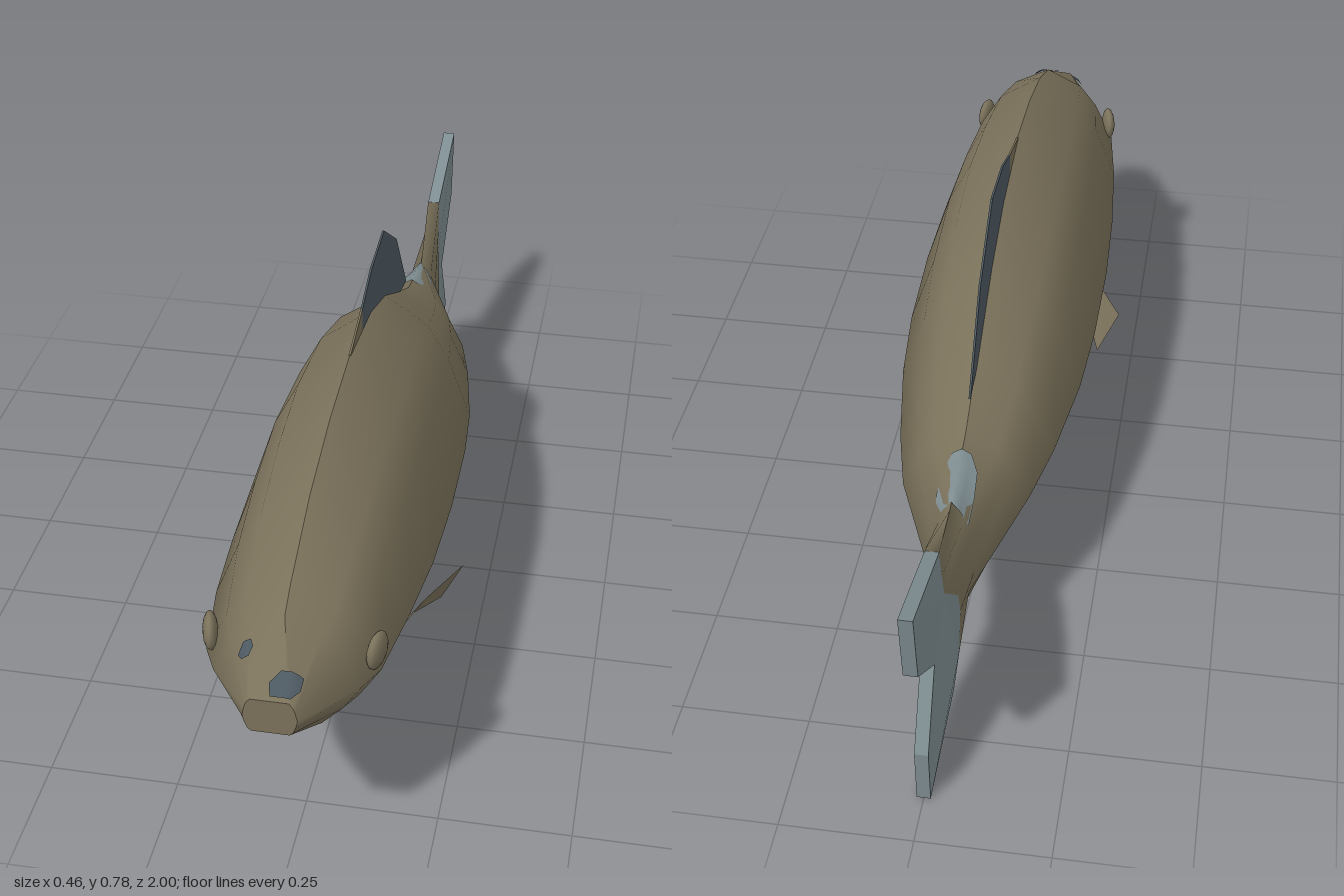
import * as THREE from 'three';

const olive = new THREE.MeshStandardMaterial({ color: 0x7b725b, side: THREE.DoubleSide });
olive.name = 'olive skin';
const paleBlue = new THREE.MeshStandardMaterial({ color: 0x7f8e92, side: THREE.DoubleSide });
paleBlue.name = 'pale blue grey';
const slate = new THREE.MeshStandardMaterial({ color: 0x4d5961, side: THREE.DoubleSide });
slate.name = 'slate blue';

// Half cross-section, top to bottom: width fraction, height fraction
const HALF = [[0, 1], [0.5, 0.875], [0.74, 0.72], [1, 0.455], [0.75, 0.25], [0.46, 0.09], [0, 0]];
// Body stations: z, top, bottom, half width, boxiness
const STATIONS = [
  [1, 0.48, 0.41, 0.047, 0.7], [0.87, 0.555, 0.30, 0.13, 0], [0.82, 0.585, 0.275, 0.155, 0],
  [0.66, 0.65, 0.21, 0.178, 0], [0.48, 0.69, 0.14, 0.193, 0], [0.29, 0.708, 0.108, 0.2, 0],
  [0.08, 0.68, 0.106, 0.197, 0], [-0.08, 0.625, 0.118, 0.185, 0], [-0.27, 0.525, 0.168, 0.155, 0],
  [-0.4, 0.46, 0.203, 0.125, 0], [-0.58, 0.425, 0.155, 0.045, 0],
];
// Wavy colour border where the body meets the tail fin: z, y
const BORDER = [[-0.76, 0.487], [-0.75, 0.42], [-0.74, 0.37], [-0.67, 0.30], [-0.66, 0.25], [-0.67, 0.15], [-0.70, 0.085]];
const tailHalfThickness = z => Math.max(0.013, 0.013 + (z + 0.76) * 0.18);

function halfSection([z, top, bottom, width, box]) {
  return HALF.map(([u, v]) => [width * (u + (1 - u) * box), bottom + (top - bottom) * v, z]);
}

const mirrorRing = half => [...half, ...half.slice().reverse().map(([x, y, z]) => [-x, y, z])];

// Surface through rows of points
function skin(rows, closed = false) {
  const n = rows[0].length, index = [];
  for (let i = 0; i < rows.length - 1; i++) {
    for (let j = 0; j < (closed ? n : n - 1); j++) {
      const k = (j + 1) % n;
      const a = i * n + j, b = i * n + k, c = a + n, d = b + n;
      index.push(a, b, c, b, d, c);
    }
  }
  const geo = new THREE.BufferGeometry();
  geo.setAttribute('position', new THREE.Float32BufferAttribute(rows.flat(2), 3));
  geo.setIndex(index);
  geo.computeVertexNormals();
  return geo;
}

// Height of the back at (x, z)
function backHeight(x, z) {
  let i = 0;
  while (i < STATIONS.length - 2 && STATIONS[i + 1][0] > z) i++;
  const a = STATIONS[i], b = STATIONS[i + 1], t = (z - a[0]) / (b[0] - a[0]);
  const pts = halfSection(a.map((v, k) => v + (b[k] - v) * t));
  const ax = Math.abs(x);
  if (ax <= pts[0][0]) return pts[0][1];
  for (let k = 0; k < 3; k++) {
    const [x0, y0] = pts[k], [x1, y1] = pts[k + 1];
    if (ax <= x1) return y0 + (y1 - y0) * (ax - x0) / (x1 - x0);
  }
  return pts[3][1];
}

// Thin marking lying on the back; rows are z, left edge, right edge
function marking(rows) {
  return skin(rows.map(([z, x0, x1]) => [0, 0.25, 0.5, 0.75, 1].map(t => {
    const x = x0 + (x1 - x0) * t;
    return [x, backHeight(x, z) + 0.004, z];
  })));
}

// Plate in the side plane, outline given as z, y
function sidePlate(outline, halfThickness) {
  const shape = new THREE.Shape(outline.map(p => new THREE.Vector2(...p)));
  const geo = new THREE.ExtrudeGeometry(shape, { depth: 2 * halfThickness, bevelEnabled: false });
  return geo.translate(0, 0, -halfThickness).rotateY(-Math.PI / 2);
}

export function createModel() {
  const fish = new THREE.Group();
  fish.name = 'fish';
  const add = (name, geo, mat) => {
    const mesh = new THREE.Mesh(geo, mat);
    mesh.name = name;
    fish.add(mesh);
    return mesh;
  };

  // Body, ending on the tail colour border
  const rings = STATIONS.map(s => mirrorRing(halfSection(s)));
  rings.push(mirrorRing(BORDER.map(([z, y]) => [tailHalfThickness(z), y, z])));
  add('body', skin(rings, true), olive);

  // Blunt mouth closing the front
  const centre = rings[0].map(() => [0, 0.443, 1]);
  add('mouth', skin([centre, rings[0]], true), olive);

  // Forked tail, thickening towards the body
  const tail = sidePlate([...BORDER, [-0.9, 0.003], [-0.91, 0.13], [-0.83, 0.28], [-0.975, 0.4], [-1, 0.555]], 1);
  const p = tail.attributes.position;
  for (let i = 0; i < p.count; i++) p.setX(i, Math.sign(p.getX(i)) * tailHalfThickness(p.getZ(i)));
  tail.computeVertexNormals();
  add('tailFin', tail, paleBlue);

  // Dorsal fin with a skin-coloured leading edge
  add('dorsalFinRoot', sidePlate([[0.29, 0.708], [0.17, 0.737], [0.17, 0.66], [0.25, 0.67]], 0.002), olive);
  add('dorsalFin', sidePlate([[0.17, 0.737], [0.07, 0.77], [-0.07, 0.78], [-0.22, 0.68],
    [-0.35, 0.505], [-0.26, 0.525], [-0.08, 0.6], [0.08, 0.65], [0.17, 0.66]], 0.002), slate);

  // Pectoral fins and eyes on both sides
  for (const s of [1, -1]) {
    const side = s > 0 ? 'left' : 'right';
    const rows = [
      [[0.115, 0.295, 0.56], [0.095, 0.225, 0.55]],
      [[0.135, 0.255, 0.53], [0.105, 0.215, 0.52]],
      [[0.175, 0.257, 0.42], [0.14, 0.205, 0.42]],
      [[0.23, 0.258, 0.31], [0.185, 0.16, 0.30]],
    ].map(row => row.map(([x, y, z]) => [s * x, y, z]));
    add(side + 'PectoralFin', skin(s > 0 ? rows : rows.map(r => r.reverse())), olive);

    const eye = add(side + 'Eye', new THREE.SphereGeometry(0.035, 14, 10), olive);
    eye.scale.x = 0.4;
    eye.position.set(s * 0.147, 0.455, 0.815);
    eye.rotation.y = -s * 0.25;
  }

  // Blue markings on the tail root and snout
  add('tailRootMarking', marking([[-0.44, -0.018, 0.018], [-0.47, -0.034, 0.03], [-0.52, -0.036, 0.036], [-0.565, -0.032, 0.032]]), paleBlue);
  add('snoutMarking', marking([[0.995, 0, 0.035], [0.975, -0.005, 0.048], [0.955, 0.012, 0.05]]), slate);
  add('browMarking', marking([[0.93, -0.062, -0.05], [0.915, -0.072, -0.045], [0.9, -0.066, -0.052]]), slate);

  return fish;
}
